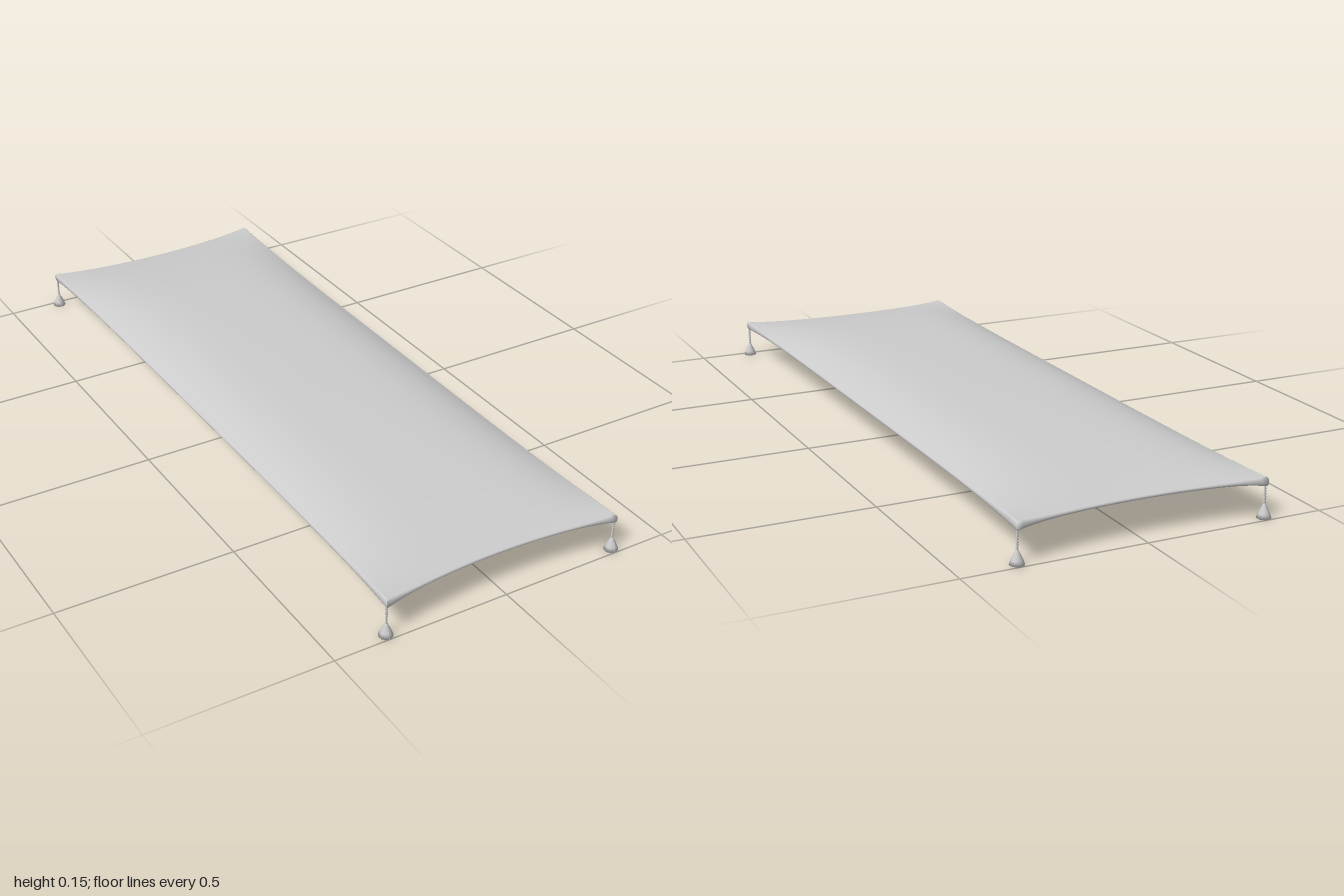
import * as THREE from 'three';

const material = new THREE.MeshStandardMaterial({ color: 0xcccccc, side: THREE.DoubleSide });
const HALF_W = 0.35, HALF_L = 0.99, N = 48;

// Pinched outline: the sides draw inward between the corners
const planX = (u, v) => u * (HALF_W - 0.005 - 0.01 * (1 - v ** 4));
const planZ = (u, v) => v * (HALF_L - 0.005 - 0.033 * (1 - u * u));
// Half thickness of the border, fuller at the corners
const borderHalf = (u, v) => 0.005 + 0.0075 * (u * v) ** 6;
const borderMid = (u, v) => 0.1 - 0.0025 * (u * v) ** 6;

const topY = (u, v) =>
  borderMid(u, v) + borderHalf(u, v) + 0.047 * (1 - u ** 4) * (1 - v ** 4);
const bottomY = (u, v) =>
  borderMid(u, v) - borderHalf(u, v) - 0.075 * (1 - u * u) * (1 - v * v);

// Indexed grid surface; point(i, j) returns [x, y, z]
function surface(rows, cols, point, flip) {
  const pos = [], idx = [];
  for (let i = 0; i <= rows; i++)
    for (let j = 0; j <= cols; j++) pos.push(...point(i / rows, j / cols));
  for (let i = 0; i < rows; i++)
    for (let j = 0; j < cols; j++) {
      const a = i * (cols + 1) + j, b = a + 1, c = a + cols + 1, d = c + 1;
      if (flip) idx.push(a, b, c, b, d, c);
      else idx.push(a, c, b, b, c, d);
    }
  const geo = new THREE.BufferGeometry();
  geo.setAttribute('position', new THREE.Float32BufferAttribute(pos, 3));
  geo.setIndex(idx);
  geo.computeVertexNormals();
  return geo;
}

function panel(height, flip) {
  return surface(N, N, (s, t) => {
    const u = t * 2 - 1, v = s * 2 - 1;
    return [planX(u, v), height(u, v), planZ(u, v)];
  }, flip);
}

// Walk around the square parameter outline
function outline(t) {
  const p = (t * 4) % 4, side = Math.floor(p), k = (p - side) * 2 - 1;
  return [[k, 1], [1, -k], [-k, -1], [-1, k]][side];
}

// Rounded border strip joining the two panels
function border() {
  return surface(4 * N, 6, (t, s) => {
    const [u, v] = outline(t), a = (s - 0.5) * Math.PI;
    const out = 0.005 * Math.cos(a);
    const ox = Math.abs(u) === 1 ? Math.sign(u) : 0;
    const oz = Math.abs(v) === 1 ? Math.sign(v) : 0;
    return [
      planX(u, v) + ox * out,
      borderMid(u, v) + borderHalf(u, v) * Math.sin(a),
      planZ(u, v) + oz * out,
    ];
  }, false);
}

// Fluted skirt flaring out below a narrow neck
function skirt() {
  const profile = [[0, 0.002], [0.0195, 0], [0.0155, 0.012], [0.010, 0.024], [0.006, 0.031], [0.0045, 0.036], [0, 0.038]]
    .map(([r, y]) => new THREE.Vector2(r, y));
  const geo = new THREE.LatheGeometry(profile, 32);
  const pos = geo.attributes.position;
  for (let i = 0; i < pos.count; i++) {
    const pleat = Math.floor(i / profile.length) % 2 ? 0.84 : 1;
    pos.setX(i, pos.getX(i) * pleat);
    pos.setZ(i, pos.getZ(i) * pleat);
  }
  geo.computeVertexNormals();
  return geo;
}

// Twisted strand of the hanging cord
function strand(phase) {
  const pts = [];
  for (let i = 0; i <= 40; i++) {
    const a = phase + (i / 40) * Math.PI * 8;
    pts.push(new THREE.Vector3(0.0015 * Math.cos(a), 0.034 + 0.058 * (i / 40), 0.0015 * Math.sin(a)));
  }
  return new THREE.TubeGeometry(new THREE.CatmullRomCurve3(pts), 60, 0.002, 6);
}

export function createModel() {
  const model = new THREE.Group();
  model.name = 'cushion';
  const add = (parent, name, geo) => {
    const mesh = new THREE.Mesh(geo, material);
    mesh.name = name;
    parent.add(mesh);
  };

  add(model, 'topPanel', panel(topY, false));
  add(model, 'bottomPanel', panel(bottomY, true));
  add(model, 'border', border());

  // A tassel under each corner
  const skirtGeo = skirt(), strands = [strand(0), strand(Math.PI)];
  for (const sx of [-1, 1])
    for (const sz of [-1, 1]) {
      const tassel = new THREE.Group();
      tassel.name = `${sz > 0 ? 'front' : 'back'}${sx > 0 ? 'Left' : 'Right'}Tassel`;
      add(tassel, 'tasselSkirt', skirtGeo);
      strands.forEach((geo) => add(tassel, 'tasselCord', geo));
      tassel.position.set(sx * 0.345, 0, sz * 0.982);
      model.add(tassel);
    }
  return model;
}
